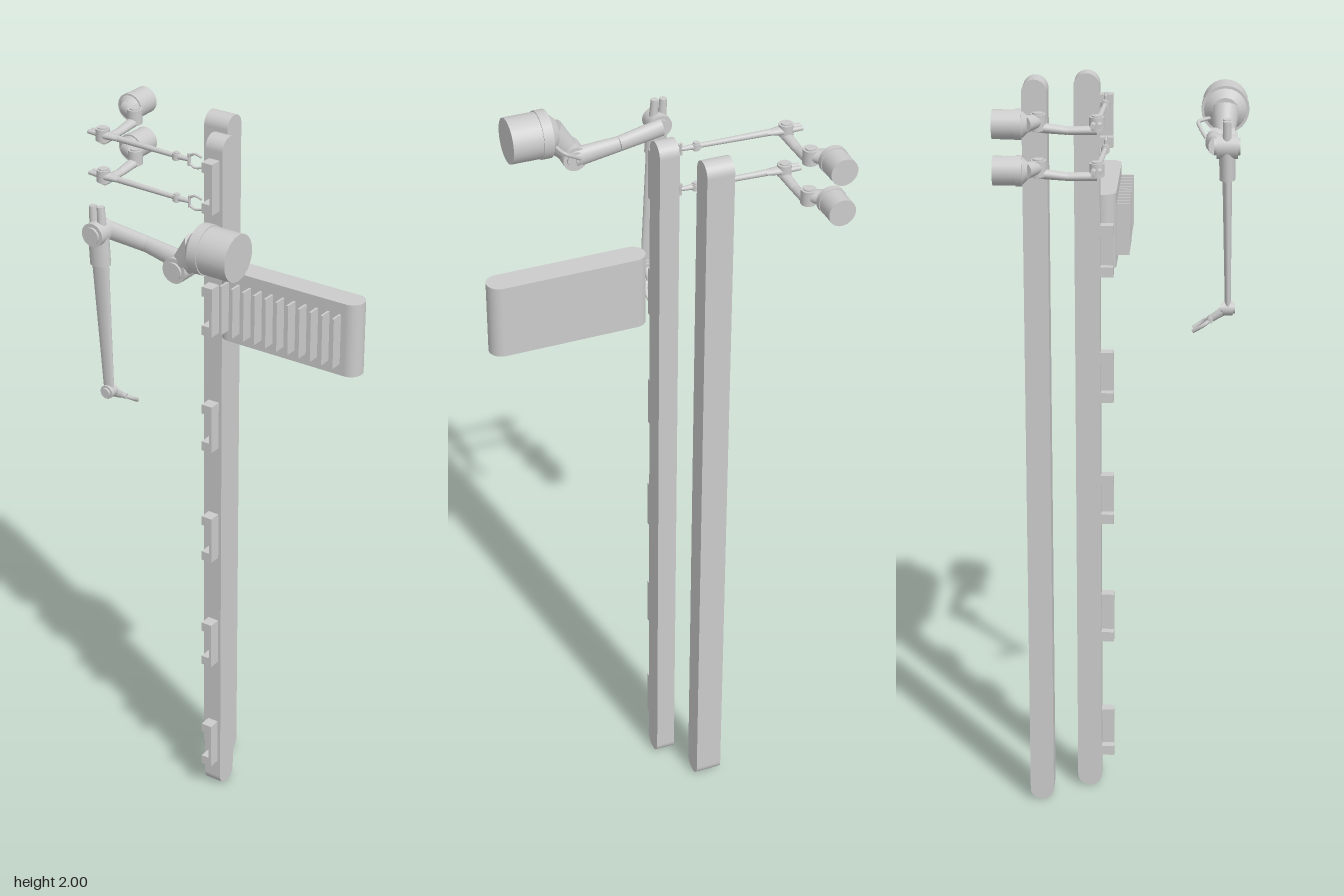
import * as THREE from 'three';

const V = (x, y, z) => new THREE.Vector3(x, y, z);
const mat = new THREE.MeshStandardMaterial({ color: 0xcccccc });

function add(parent, name, geo, x = 0, y = 0, z = 0) {
  const m = new THREE.Mesh(geo, mat);
  m.name = name;
  m.position.set(x, y, z);
  parent.add(m);
  return m;
}

// Bar with two round ends: length along shape y, extruded by depth, centred
function stadium(length, thick, depth) {
  const r = thick / 2, h = length / 2 - r, s = new THREE.Shape();
  s.absarc(0, h, r, 0, Math.PI, false);
  s.absarc(0, -h, r, Math.PI, Math.PI * 2, false);
  s.closePath();
  const g = new THREE.ExtrudeGeometry(s, { depth, bevelEnabled: false, curveSegments: 12 });
  return g.translate(0, 0, -depth / 2);
}

// Tapered rod from a to b; flat squeezes it along the axis direction
function rod(parent, name, a, b, ra, rb, axis = V(0, 0, 1), flat = 1) {
  const dir = b.clone().sub(a), len = dir.length();
  dir.normalize();
  const side = dir.clone().cross(axis);
  if (side.length() < 0.01) side.crossVectors(dir, V(0.3, 1, 0.2));
  side.normalize();
  const g = new THREE.CylinderGeometry(rb, ra, len, 24);
  g.scale(1, 1, flat);
  g.applyMatrix4(new THREE.Matrix4().makeBasis(side, dir, side.clone().cross(dir)));
  const c = a.clone().add(b).multiplyScalar(0.5);
  return add(parent, name, g, c.x, c.y, c.z);
}

// Jointed robot arm with gripper, all radii scaled by s
function arm(name, o) {
  const g = new THREE.Group();
  g.name = name;
  const { s, base, neck, j1, j2, wrist, tip, axis, spread } = o;
  const along = (p, d, t) => p.clone().addScaledVector(d, t * s);
  const pivot = (n, p, r, l, shift = 0) => {
    const c = along(p, axis, shift);
    rod(g, n, along(c, axis, -l / 2), along(c, axis, l / 2), r * s, r * s);
    rod(g, n + 'Cap', along(c, axis, -l / 2 - 0.006), along(c, axis, l / 2 + 0.006), r * 0.7 * s, r * 0.7 * s);
  };

  // Base drum, collar and shoulder
  const baseDir = neck.clone().sub(base).normalize();
  rod(g, 'baseDrum', base, neck, 0.06 * s, 0.06 * s);
  rod(g, 'baseCollar', along(neck, baseDir, -0.027), neck, 0.063 * s, 0.063 * s);
  rod(g, 'shoulderCone', neck, along(neck, baseDir, 0.022), 0.056 * s, 0.035 * s);
  rod(g, 'shoulder', along(neck, baseDir, 0.005), j1, 0.042 * s, 0.028 * s, axis, 0.9);
  pivot('shoulderPivot', j1, 0.033, 0.066, -0.004);

  // Upper arm, offset to the side of both pivots
  const a = along(j1, axis, -0.026), b = along(j2, axis, -0.028);
  const mid = along(a.clone().lerp(b, 0.5), axis, -0.008);
  rod(g, 'upperArm', a, mid, 0.027 * s, 0.021 * s, axis, 0.8);
  rod(g, 'upperArm', mid, b, 0.021 * s, 0.024 * s, axis, 0.8);
  pivot('elbowPivot', j2, 0.031, 0.054);

  // Forearm with motors behind the elbow
  const fd = wrist.clone().sub(j2).normalize();
  const side = fd.clone().cross(axis).normalize();
  rod(g, 'forearmCollar', j2, along(j2, fd, 0.085), 0.029 * s, o.foreA * 1.15, axis, 0.7);
  rod(g, 'forearm', along(j2, fd, 0.07), wrist, o.foreA, o.foreB, axis, o.flat);
  for (const k of [-1, 1]) {
    const p = along(j2, side, k * 0.012);
    rod(g, 'elbowMotor', p, along(p, fd, -0.068), 0.012 * s, 0.01 * s);
  }

  // Wrist, palm and two bent fingers
  pivot('wristPivot', wrist, 0.018, 0.026);
  const palm = wrist.clone().lerp(tip, 0.5);
  rod(g, 'hand', wrist, palm, 0.013 * s, 0.009 * s);
  const w = o.gap;
  rod(g, 'palm', palm.clone().addScaledVector(spread, -w), palm.clone().addScaledVector(spread, w), 0.007 * s, 0.007 * s);
  for (const k of [-w, w]) {
    const path = new THREE.CatmullRomCurve3([
      palm.clone().addScaledVector(spread, k * 0.6),
      palm.clone().lerp(tip, 0.4).addScaledVector(spread, k * 1.15),
      tip.clone().addScaledVector(spread, k * 0.85),
    ]);
    add(g, 'finger', new THREE.TubeGeometry(path, 10, 0.0055 * s, 8));
  }
  return g;
}

export function createModel() {
  const root = new THREE.Group();

  // Two tall conveyor belts with round ends
  add(root, 'rearBelt', stadium(2, 0.064, 0.072).rotateY(Math.PI / 2), -0.098, 1, -0.233);
  add(root, 'frontBelt', stadium(2, 0.066, 0.052).rotateY(Math.PI / 2), -0.017, 1, -0.106);

  // Carriers along the front belt: a side plate with two end posts
  for (let i = 0; i < 6; i++) {
    const c = new THREE.Group();
    c.name = 'carrier';
    c.position.set(0, 0.156 + i * 0.3437, -0.0565);
    add(c, 'sidePlate', new THREE.BoxGeometry(0.008, 0.138, 0.035), -0.004);
    for (const k of [-1, 1])
      add(c, 'endPost', new THREE.BoxGeometry(0.032, 0.027, 0.035), -0.016, k * 0.0555);
    root.add(c);
  }

  // Side rack with a row of thin fins
  add(root, 'rack', stadium(0.417, 0.066, 0.2).rotateZ(Math.PI / 2).rotateX(Math.PI / 2), 0.2285, 1.57, -0.067);
  for (let i = 0; i < 11; i++)
    add(root, 'rackFin', new THREE.BoxGeometry(0.006, 0.138, 0.036), 0.053 + i * 0.0335, 1.57, -0.018);

  // Large front arm
  const big = arm('largeArm', {
    s: 1, base: V(0.27, 1.868, 0.248), neck: V(0.162, 1.868, 0.248),
    j1: V(0.1, 1.8, 0.245), j2: V(-0.14, 1.835, 0.253),
    wrist: V(-0.112, 1.405, 0.26), tip: V(-0.105, 1.345, 0.17),
    axis: V(0, 0, 1), spread: V(1, 0, 0), gap: 0.018,
    foreA: 0.025, foreB: 0.015, flat: 0.5,
  });
  const hose = new THREE.CatmullRomCurve3([
    V(0.09, 1.805, 0.2), V(0.115, 1.825, 0.185), V(0.137, 1.84, 0.178), V(0.148, 1.845, 0.195), V(0.155, 1.85, 0.22)]);
  add(big, 'hose', new THREE.TubeGeometry(hose, 20, 0.005, 8));
  root.add(big);

  // Two small stacked rear arms
  for (const y of [1.942, 1.828])
    root.add(arm('smallArm', {
      s: 0.6, base: V(-0.4, y, -0.315), neck: V(-0.4, y, -0.243),
      j1: V(-0.358, y, -0.207), j2: V(-0.357, y - 0.005, -0.064),
      wrist: V(-0.12, y - 0.007, -0.055), tip: V(-0.04, y - 0.007, -0.055),
      axis: V(0, 1, 0), spread: V(0, 1, 0), gap: 0.016,
      foreA: 0.0085, foreB: 0.006, flat: 1,
    }));

  return root;
}
